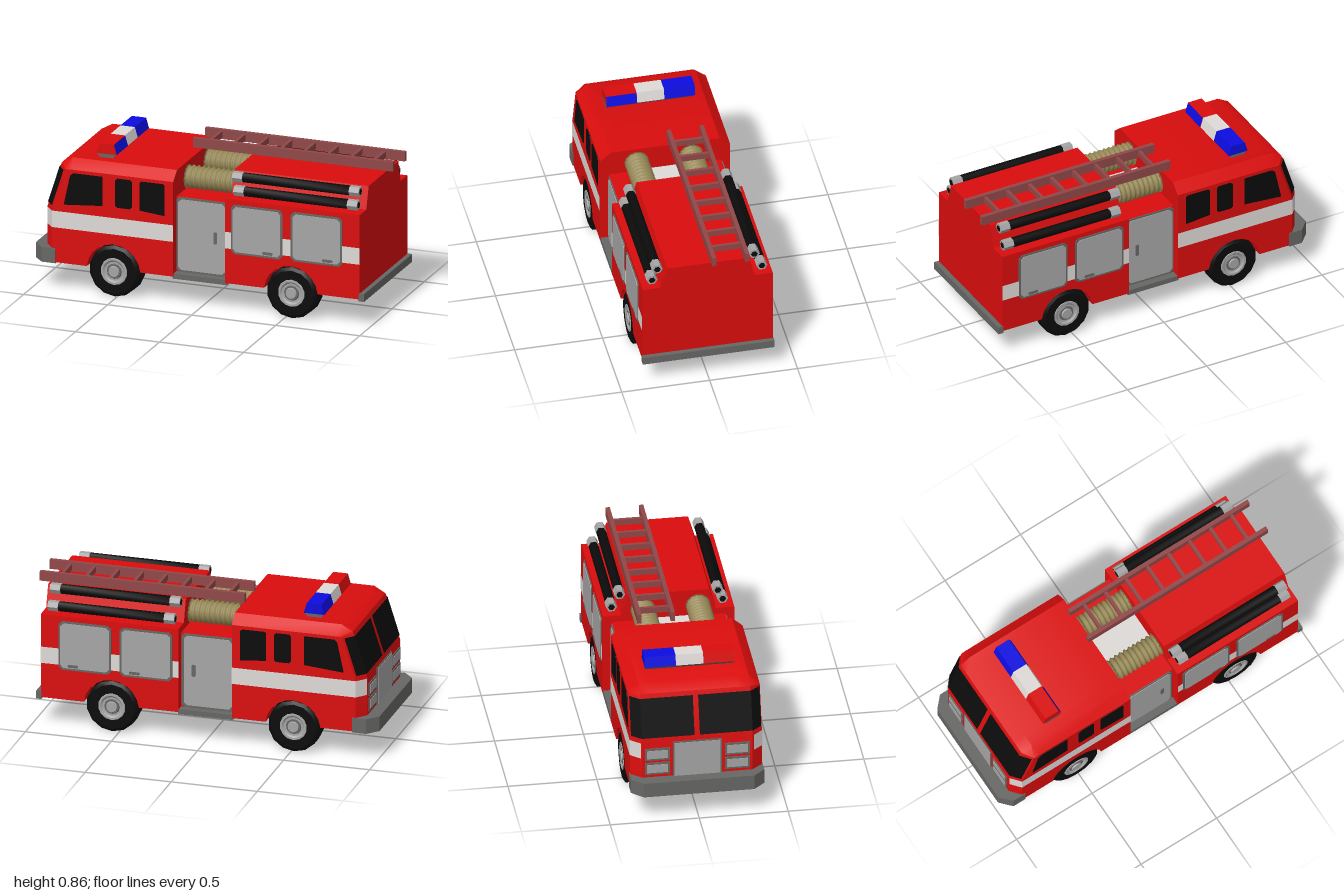
import * as THREE from 'three';
import { toCreasedNormals } from 'three/addons/utils/BufferGeometryUtils.js';

const mat = (name, color, side = THREE.FrontSide) => {
  const m = new THREE.MeshStandardMaterial({ color, side });
  m.name = name;
  return m;
};

export function createModel() {
  const root = new THREE.Group();
  root.name = 'fireEngine';
  const red = mat('red paint', 0xdb0d0d);
  const white = mat('white', 0xdedad8, THREE.DoubleSide);
  const silver = mat('light grey', 0xa6a6a6);
  const steel = mat('dark grey metal', 0x676865);
  const black = mat('black', 0x0b0b0b, THREE.DoubleSide);
  const blue = mat('blue lamp', 0x0c0ce0);
  const tan = mat('tan hose', 0x988a58);
  const brown = mat('ladder brown', 0x914848);

  const add = (name, geo, m, x = 0, y = 0, z = 0, parent = root) => {
    const mesh = new THREE.Mesh(geo, m);
    mesh.name = name;
    mesh.position.set(x, y, z);
    parent.add(mesh);
    return mesh;
  };
  // Box given by its limits
  const box = (name, m, x0, x1, y0, y1, z0, z1) =>
    add(name, new THREE.BoxGeometry(x1 - x0, y1 - y0, z1 - z0), m, (x0 + x1) / 2, (y0 + y1) / 2, (z0 + z1) / 2);

  // Skin over counter-clockwise xy profiles placed at rising z, with capped ends
  const loft = (sections) => {
    const v = [];
    const put = (s, i) => {
      const p = s.pts[i % s.pts.length];
      v.push(p[0], p[1], s.z);
    };
    for (let k = 0; k < sections.length - 1; k++) {
      const a = sections[k], b = sections[k + 1];
      for (let i = 0; i < a.pts.length; i++) {
        put(a, i); put(a, i + 1); put(b, i + 1);
        put(a, i); put(b, i + 1); put(b, i);
      }
    }
    const first = sections[0], last = sections[sections.length - 1];
    const tris = (s) => THREE.ShapeUtils.triangulateShape(s.pts.map((p) => new THREE.Vector2(...p)), []);
    for (const [a, b, c] of tris(first)) { put(first, a); put(first, c); put(first, b); }
    for (const [a, b, c] of tris(last)) { put(last, a); put(last, b); put(last, c); }
    const g = new THREE.BufferGeometry();
    g.setAttribute('position', new THREE.Float32BufferAttribute(v, 3));
    return toCreasedNormals(g, 0.6);
  };

  // Wheel arch along the bottom edge; flat version closes the inner body
  const SILL = 0.165;
  const arch = (cx, open) => Array.from({ length: 11 }, (_, i) => {
    const a = Math.PI - 0.094 - (i / 10) * (Math.PI - 0.188);
    return [cx + 0.16 * Math.cos(a), open ? 0.15 + 0.16 * Math.sin(a) : SILL];
  });
  const body = (profile) => {
    const half = [[0.37, true, true], [0.31, true, false], [0.24, true, false], [0.24, false, false]];
    const make = (sign) => ([z, open, outer]) => ({ z: sign * z, pts: profile(open, outer) });
    return loft([...half.map(make(-1)), ...half.slice().reverse().map(make(1))]);
  };

  // Cab, with chamfered roof edges and front corners
  add('cab', body((open, outer) => {
    const d = outer ? 0.05 : 0;
    return [[-0.93 + d, SILL], ...arch(-0.515, open), [-0.16, SILL], [-0.16, outer ? 0.72 : 0.772],
      [outer ? -0.76 : -0.78, outer ? 0.72 : 0.772], [outer ? -0.8 : -0.845, outer ? 0.718 : 0.735], [-0.93 + d, 0.47]];
  }), red);

  // Rear body and its raised centre
  add('rearBody', body((open) => [[0.15, SILL], ...arch(0.54, open), [0.95, SILL], [0.95, 0.66], [0.15, 0.66]]), red);
  const crown = new THREE.Shape([[-0.27, 0.65], [0.27, 0.65], [0.23, 0.787], [-0.23, 0.787]].map((p) => new THREE.Vector2(...p)));
  const crownGeo = new THREE.ExtrudeGeometry(crown, { depth: 0.8, bevelEnabled: false }).rotateY(Math.PI / 2);
  add('rearBodyTop', crownGeo, red, 0.15);

  // Recessed middle section
  box('middleBody', red, -0.17, 0.16, 0.17, 0.62, -0.32, 0.32);
  box('middleStep', steel, -0.165, 0.155, 0.152, 0.182, -0.367, 0.367);
  box('reelFloor', white, -0.16, 0.15, 0.62, 0.628, -0.1, 0.11);

  // Bumpers
  const bumper = new THREE.Shape([[-1, -0.31], [-0.94, -0.375], [-0.86, -0.375], [-0.86, 0.375], [-0.94, 0.375], [-1, 0.31]]
    .map((p) => new THREE.Vector2(...p)));
  add('frontBumper', new THREE.ExtrudeGeometry(bumper, { depth: 0.087, bevelEnabled: false }).rotateX(-Math.PI / 2), steel, 0, 0.16, 0);
  box('rearBumper', steel, 0.945, 0.977, 0.155, 0.2, -0.375, 0.375);

  // Thin plate with slightly cut corners, made on both sides
  const plates = (name, m, pts, z, depth = 0.005) => {
    const shape = new THREE.Shape(pts.map((p) => new THREE.Vector2(...p)));
    const geo = new THREE.ExtrudeGeometry(shape, { depth, bevelEnabled: false });
    add(name + 'Left', geo, m, 0, 0, z);
    add(name + 'Right', geo, m, 0, 0, -z - depth);
  };
  const rect = (x0, x1, y0, y1, c = 0.012) => [[x0 + c, y0], [x1 - c, y0], [x1, y0 + c], [x1, y1 - c],
    [x1 - c, y1], [x0 + c, y1], [x0, y1 - c], [x0, y0 + c]];

  // Side windows
  plates('frontWindow', black, [[-0.81, 0.51], [-0.58, 0.53], [-0.58, 0.7], [-0.755, 0.7], [-0.772, 0.685]], 0.369);
  plates('middleWindow', black, rect(-0.505, -0.405, 0.53, 0.7), 0.369);
  plates('backWindow', black, [[-0.36, 0.53], [-0.21, 0.515], [-0.21, 0.69], [-0.22, 0.7], [-0.35, 0.7], [-0.36, 0.69]], 0.369);

  // Lockers and middle doors with frames and handles
  for (const x of [0.185, 0.54]) {
    plates('lockerFrame', steel, rect(x, x + 0.307, 0.343, 0.632, 0.02), 0.368, 0.006);
    plates('lockerDoor', silver, rect(x + 0.012, x + 0.295, 0.356, 0.62, 0.018), 0.37, 0.008);
    plates('lockerHandle', steel, rect(x + 0.19, x + 0.25, 0.362, 0.378, 0.003), 0.374, 0.007);
  }
  plates('doorFrame', steel, rect(-0.158, 0.145, 0.182, 0.62, 0.015), 0.318, 0.006);
  plates('door', silver, rect(-0.147, 0.132, 0.195, 0.608, 0.018), 0.32, 0.008);
  plates('doorHandle', steel, rect(0.065, 0.085, 0.37, 0.44, 0.004), 0.324, 0.008);

  // Ribbon between a lower and an upper path
  const ribbon = (low, high) => {
    const v = [], index = [];
    low.forEach((p, i) => {
      v.push(...p, ...high[i]);
      if (i) index.push(2 * i - 2, 2 * i, 2 * i + 1, 2 * i - 2, 2 * i + 1, 2 * i - 1);
    });
    const g = new THREE.BufferGeometry();
    g.setAttribute('position', new THREE.Float32BufferAttribute(v, 3));
    g.setIndex(index);
    const flat = g.toNonIndexed();
    flat.computeVertexNormals();
    return flat;
  };

  for (const s of [1, -1]) {
    // Windscreen half wrapping the front corner (wound to face outwards on both sides)
    const pane = (y) => {
      const x = -0.935 + 0.32 * (y - 0.47);
      const row = [[x, y, s * 0.015], [x, y, s * 0.312], [x + 0.044, y, s * 0.366]];
      return s > 0 ? row : row.reverse();
    };
    add('windscreen', ribbon(pane(0.495), pane(0.712)), black);

    // White stripe along cab and rear body
    const stripe = (xz, y0, y1) => {
      const path = s > 0 ? xz : xz.slice().reverse();
      const row = (y) => path.map(([x, z]) => [x, y, s * z]);
      add('stripe', ribbon(row(y0), row(y1)), white);
    };
    stripe([[-0.929, 0.317], [-0.881, 0.373], [-0.16, 0.373]], 0.37, 0.467);
    stripe([[0.15, 0.373], [0.95, 0.373]], 0.37, 0.467);

    // Headlamps
    for (const y of [0.265, 0.355]) {
      const [a, b] = s > 0 ? [0.155, 0.295] : [-0.295, -0.155];
      box('lampFrame', steel, -0.936, -0.928, y, y + 0.075, a, b);
      box('headlamp', silver, -0.939, -0.931, y + 0.012, y + 0.063, a + 0.012, b - 0.012);
    }
  }
  box('grilleFrame', steel, -0.935, -0.928, 0.2, 0.465, -0.138, 0.138);
  box('grille', silver, -0.938, -0.93, 0.2, 0.457, -0.13, 0.13);

  // Wheels
  const lathe = (pts, seg) => toCreasedNormals(
    new THREE.LatheGeometry(pts.map((p) => new THREE.Vector2(...p)), seg).rotateX(Math.PI / 2).toNonIndexed(), 0.6);
  const tyre = lathe([[0, -0.058], [0.13, -0.058], [0.15, -0.045], [0.15, 0.045], [0.132, 0.058], [0.08, 0.058], [0.075, 0.045], [0, 0.045]], 14);
  const hub = lathe([[0.082, 0.05], [0.078, 0.061], [0.066, 0.061], [0.056, 0.052], [0, 0.052]], 14);
  const ring = lathe([[0.046, 0.05], [0.042, 0.058], [0, 0.058]], 12);
  const cap = lathe([[0.034, 0.056], [0.03, 0.066], [0, 0.066]], 12);
  for (const x of [-0.515, 0.54]) for (const s of [1, -1]) {
    const wheel = new THREE.Group();
    wheel.name = 'wheel';
    wheel.position.set(x, 0.15, s * 0.305);
    if (s < 0) wheel.rotation.y = Math.PI;
    add('tyre', tyre, black, 0, 0, 0, wheel);
    add('hub', hub, silver, 0, 0, 0, wheel);
    add('hubRing', ring, steel, 0, 0, 0, wheel);
    add('hubCap', cap, silver, 0, 0, 0, wheel);
    root.add(wheel);
  }

  // Light bar
  const bar = [[-0.662, 0.793], [-0.543, 0.793], [-0.56, 0.852], [-0.645, 0.852]];
  const lamp = (name, m, z0, z1) => add(name, loft([{ z: z0, pts: bar }, { z: z1, pts: bar }]), m);
  add('lightBarBase', loft([-0.25, 0.25].map((z) => ({ z, pts: [[-0.635, 0.765], [-0.57, 0.765], [-0.545, 0.794], [-0.66, 0.794]] }))), steel);
  lamp('blueLamp', blue, -0.255, -0.08);
  lamp('whiteLamp', white, -0.08, 0.075);
  lamp('redLamp', red, 0.075, 0.25);
  add('blueRearLens', ribbon([[-0.541, 0.794, 0.249], [-0.541, 0.794, 0.076]], [[-0.558, 0.851, 0.249], [-0.558, 0.851, 0.076]]), blue);

  // Coiled hose reels
  const coil = [[0, -0.15]];
  for (let i = 0; i <= 40; i++) coil.push([0.062 + 0.007 * Math.cos((i / 40) * Math.PI * 20), -0.15 + (i / 40) * 0.295]);
  coil.push([0, 0.145]);
  const reel = new THREE.LatheGeometry(coil.map((p) => new THREE.Vector2(...p)), 14).rotateZ(-Math.PI / 2);
  for (const z of [-0.145, 0.165]) add('hoseReel', reel, tan, 0, 0.692, z);

  // Suction hoses with hexagonal couplings
  const hex = (r, len, open = false) => new THREE.CylinderGeometry(r, r, len, 6, 1, open).rotateZ(-Math.PI / 2).toNonIndexed();
  for (const [y, z, x0] of [[0.766, 0.28, 0.17], [0.696, 0.31, 0.19], [0.784, -0.272, 0.17], [0.696, -0.315, 0.19]]) {
    add('suctionHose', toCreasedNormals(hex(0.028, 0.66), 1.2), black, 0.55, y, z);
    for (const x of [x0 + 0.025, 0.89]) add('coupling', toCreasedNormals(hex(0.031, 0.06), 0.6), silver, x, y, z);
    add('couplingBore', hex(0.019, 0.004), black, 0.92, y, z);
    add('couplingBore', hex(0.019, 0.004), black, x0 - 0.005, y, z);
  }

  // Ladder
  for (const z of [-0.226, -0.038]) box('ladderRail', brown, -0.19, 1, 0.8, 0.855, z, z + 0.024);
  for (let i = 0; i < 8; i++) {
    const x = -0.095 + i * 0.139;
    box('ladderRung', brown, x - 0.009, x + 0.009, 0.811, 0.846, -0.21, -0.03);
  }
  return root;
}
